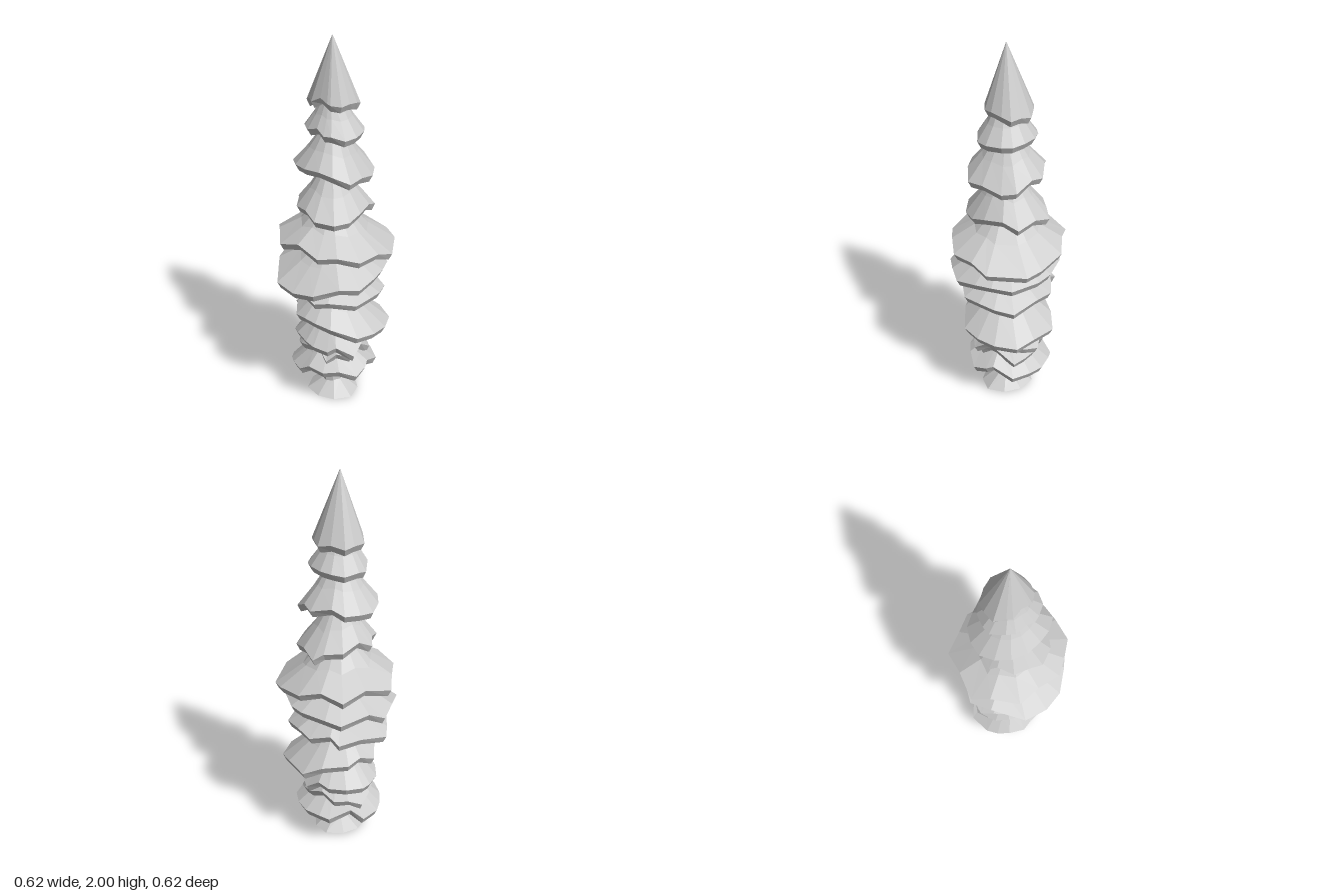
import * as THREE from 'three';

const material = new THREE.MeshStandardMaterial({ color: 0xcccccc, flatShading: true });
const openMaterial = material.clone();
openMaterial.side = THREE.DoubleSide;

// Small repeatable random source, giving -1..1
function seeded(seed) {
  let s = seed;
  return () => {
    s = (s * 16807) % 2147483647;
    return (s / 2147483647) * 2 - 1;
  };
}

// Facets between successive rings of points, last ring joined to the first
function loft(rings) {
  const pos = [];
  const n = rings[0].length;
  rings.forEach((a, k) => {
    const b = rings[(k + 1) % rings.length];
    for (let i = 0; i < n; i++) {
      const j = (i + 1) % n;
      for (const p of [a[i], a[j], b[i], a[j], b[j], b[i]]) pos.push(...p);
    }
  });
  const g = new THREE.BufferGeometry();
  g.setAttribute('position', new THREE.Float32BufferAttribute(pos, 3));
  g.computeVertexNormals();
  return g;
}

// One drooping skirt of foliage: a thick shell with a ragged rim.
// reach holds the rim radius toward +x, +z, -x and -z;
// lobe is one heavier bough: angle from +x toward +z, extra reach, extra droop.
function skirt(top, rim, reach, options, seed) {
  const { topR = 0.045, jag = 0.024, bend = 0.01, sides = 15, lobe = [0, 0, 0] } = options;
  const rand = seeded(seed * 7919 + 13);
  for (let i = 0; i < 5; i++) rand();
  const mean = reach.reduce((sum, r) => sum + r) / 4;
  const thick = 0.036;
  const rings = [[], [], [], [], [], []];
  for (let i = 0; i < sides; i++) {
    const a = ((i + rand() * 0.3) / sides) * Math.PI * 2;
    const c = Math.cos(a), s = Math.sin(a);
    const blend = reach[c > 0 ? 0 : 2] * c * c + reach[s > 0 ? 1 : 3] * s * s;
    const bough = Math.max(0, Math.cos(a - THREE.MathUtils.degToRad(lobe[0]))) ** 5;
    const tooth = (i % 2 ? 1 : -1) * 0.35 + rand() * 0.65;
    const r = (blend + lobe[1] * bough) * (0.98 + 0.08 * tooth);
    // Longer branches hang lower
    const y = rim - (blend - mean) * 0.8 - jag * tooth - lobe[2] * bough;
    const midR = (topR + r) / 2;
    const midY = (top + y) / 2 - bend;
    const profile = [
      [topR, top], [midR, midY], [r, y],
      [r - 0.018, y - thick], [midR * 0.85, midY - thick], [topR * 0.5, top - thick * 1.5],
    ];
    profile.forEach(([rad, h], k) => rings[k].push([c * rad - 0.005, h, s * rad - 0.01]));
  }
  return loft(rings);
}

// Tiers from the tip down: top height, rim height, reach, options
const tiers = [
  [2.0, 1.67, [0.125, 0.095, 0.14, 0.14], { topR: 0.002, jag: 0.015, bend: 0 }],
  [1.7, 1.53, [0.165, 0.125, 0.155, 0.16], {}],
  [1.54, 1.34, [0.21, 0.18, 0.21, 0.21], { lobe: [-20, 0, 0.05] }],
  [1.33, 1.12, [0.18, 0.2, 0.18, 0.23], { lobe: [35, 0.02, 0.04] }],
  [1.14, 0.94, [0.31, 0.26, 0.305, 0.295], { bend: 0.025, lobe: [-42, 0.04, 0.06] }],
  [0.94, 0.78, [0.28, 0.3, 0.285, 0.275], { lobe: [85, 0.01, 0.04] }],
  [0.8, 0.65, [0.265, 0.23, 0.265, 0.25], { bend: 0.015 }],
  [0.67, 0.48, [0.265, 0.2, 0.205, 0.265], { lobe: [-45, 0.04, 0.03] }],
  [0.52, 0.34, [0.2, 0.18, 0.22, 0.21], { jag: 0.04, bend: 0, sides: 17 }],
  [0.46, 0.28, [0.18, 0.15, 0.2, 0.2], { jag: 0.04, bend: 0, sides: 17 }],
  [0.35, 0.2, [0.22, 0.195, 0.225, 0.235], { jag: 0.03, sides: 17, lobe: [160, 0.01, 0.04] }],
];

export function createModel() {
  const tree = new THREE.Group();
  tree.name = 'tree';

  // Trunk running up inside the foliage
  const trunk = new THREE.Mesh(new THREE.CylinderGeometry(0.02, 0.052, 1.62, 8), material);
  trunk.position.set(-0.005, 0.87, -0.008);
  trunk.name = 'trunk';
  tree.add(trunk);

  // Flared hollow foot with an uneven edge
  const foot = new THREE.CylinderGeometry(0.05, 0.135, 0.07, 9, 1, true);
  const p = foot.attributes.position;
  for (let i = 0; i < p.count; i++) {
    if (p.getY(i) > 0) continue;
    const a = Math.atan2(p.getZ(i), p.getX(i));
    const k = 1 + 0.06 * Math.sin(a * 3 + 1);
    p.setXYZ(i, p.getX(i) * k, p.getY(i) + 0.007 * (1 + Math.cos(a + 2.4)), p.getZ(i) * k);
  }
  foot.computeVertexNormals();
  const base = new THREE.Mesh(foot, openMaterial);
  base.position.set(0, 0.035, -0.015);
  base.name = 'trunkFoot';
  tree.add(base);

  // Foliage
  const foliage = new THREE.Group();
  foliage.name = 'foliage';
  tiers.forEach(([top, rim, reach, options], i) => {
    const mesh = new THREE.Mesh(skirt(top, rim, reach, options, i + 1), material);
    mesh.name = i === 0 ? 'tip' : `branchTier${i}`;
    foliage.add(mesh);
  });
  tree.add(foliage);
  return tree;
}
